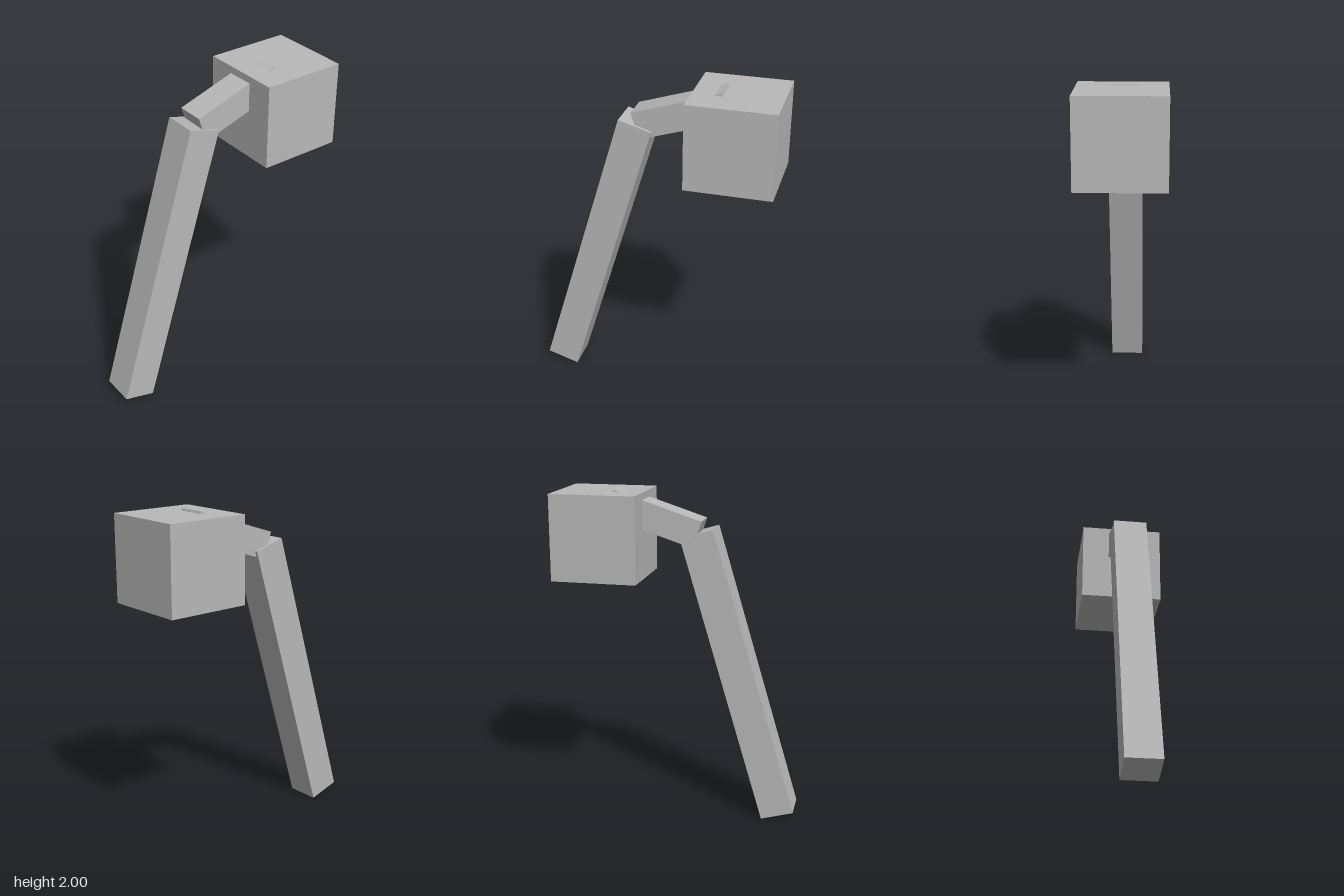
import * as THREE from 'three';

export function createModel() {
  const model = new THREE.Group();
  model.name = 'streetLamp';

  const grey = new THREE.MeshStandardMaterial({ color: 0xb8b8b8 });
  grey.name = 'plain grey';

  // Adds a box tilted in the xy plane
  function addBox(name, [w, h, d], [x, y, z], tilt = 0) {
    const mesh = new THREE.Mesh(new THREE.BoxGeometry(w, h, d), grey);
    mesh.name = name;
    mesh.position.set(x, y, z);
    mesh.rotation.z = tilt;
    model.add(mesh);
  }

  // Leaning post
  addBox('post', [0.203, 1.8, 0.205], [-0.37, 0.895, -0.001], -0.29);
  // Short arm, its far top corner just breaking through the head
  addBox('arm', [0.552, 0.165, 0.17], [0.148, 1.836, -0.002], 0.313);
  // Cube head
  addBox('head', [0.514, 0.512, 0.514], [0.468, 1.73, -0.001]);

  return model;
}
